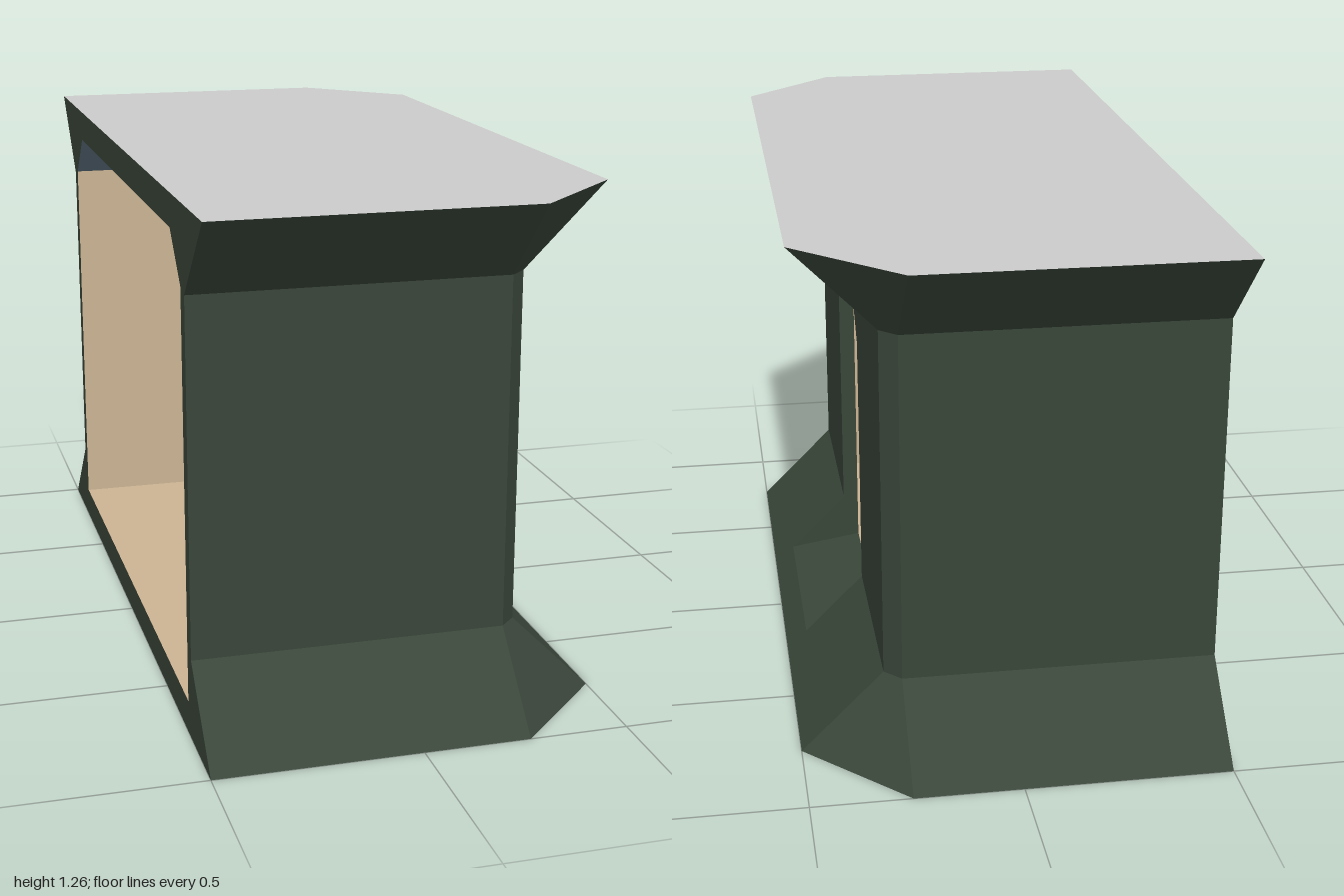
import * as THREE from 'three';

const material = (name, color) => {
  const m = new THREE.MeshStandardMaterial({ color });
  m.name = name;
  return m;
};

// Collects flat polygons; each is fanned from its first corner and turned to face `out`
function makePart(group, name, mat, build) {
  const pos = [];
  const a = new THREE.Vector3(), b = new THREE.Vector3(), c = new THREE.Vector3();
  const face = (pts, out) => {
    const dir = new THREE.Vector3(...out);
    for (let i = 1; i < pts.length - 1; i++) {
      const tri = [pts[0], pts[i], pts[i + 1]];
      a.set(...tri[0]); b.set(...tri[1]); c.set(...tri[2]);
      const n = b.clone().sub(a).cross(c.clone().sub(a));
      if (n.length() < 1e-7) continue;
      if (n.dot(dir) < 0) tri.reverse();
      pos.push(...tri.flat());
    }
  };
  const flip = ([x, y, z]) => [x, y, -z];
  const both = (pts, out) => { face(pts, out); face(pts.map(flip), flip(out)); };
  // strip spanning from an edge at +z to its mirror at -z
  const span = (p, q, out) => face([p, q, flip(q), flip(p)], out);
  build({ face, both, span });
  const geo = new THREE.BufferGeometry();
  geo.setAttribute('position', new THREE.Float32BufferAttribute(pos, 3));
  geo.computeVertexNormals();
  const mesh = new THREE.Mesh(geo, mat);
  mesh.name = name;
  group.add(mesh);
}

export function createModel() {
  const group = new THREE.Group();
  group.name = 'gatehouse';
  const green = material('dark green', 0x3a463a);
  const tan = material('tan', 0xccb493);
  const grey = material('light grey', 0xcccccc);
  const blue = material('slate blue', 0x647686);

  const H = 1.26, BACK = -0.5;
  const DZ = 0.255, DY = 0.85, TZ = 0.18, TY = 0.925;   // doorway half width, shoulder and top
  const IX = 0.26, IZ = 0.76, FLOOR = 0.08;             // room limits
  const SPRING = 1.07, CEIL = 1.18, COVE = 0.11;        // ceiling cove

  // half outline of the footprint, flared outwards by d
  const ring = (y, d) => [[BACK, y, 0.8 + d], [0.26, y, 0.8 + d], [0.3 + d, y, 0.76]];

  // flared bands: ends and cut corners, with the plain front of the cornice
  const band = (lo, hi) => ({ both, span }) => {
    both([lo[0], lo[1], hi[1], hi[0]], [0, 0, 1]);
    both([lo[1], lo[2], hi[2], hi[1]], [1, 0, 1]);
  };
  const r0 = ring(0, 0.2), r1 = ring(0.2, 0), r2 = ring(1.06, 0), r3 = ring(H, 0.2);

  // wall panel at a given x, cut around the doorway
  const doorPanel = ({ both, span }, x, bottom, top, out) => {
    both([[x, top, 0.76], [x, bottom, 0.76], [x, bottom, DZ], [x, DY, DZ], [x, TY, TZ], [x, top, TZ]], out);
    span([x, TY, TZ], [x, top, TZ], out);
  };

  makePart(group, 'skirt', green, (k) => {
    band(r0, r1)(k);
    k.both([r0[2], r1[2], [0.3, 0.2, DZ], [0.5, 0, DZ]], [1, 1, 0]);
    k.span([0.45, 0.05, DZ], [0.5, 0, DZ], [1, 1, 0]);
  });

  makePart(group, 'outerWall', green, (k) => {
    band(r1, r2)(k);
    doorPanel(k, 0.3, 0.2, 1.06, [1, 0, 0]);
  });

  makePart(group, 'cornice', green, (k) => {
    band(r2, r3)(k);
    k.span(r2[2], r3[2], [1, -1, 0]);
  });

  // door jambs, lintel and sloping sill
  makePart(group, 'doorway', green, ({ both, span }) => {
    both([[0.3, 0.2, DZ], [0.3, DY, DZ], [IX, DY, DZ], [IX, FLOOR, DZ], [0.45, 0.05, DZ]], [0, 0, -1]);
    both([[0.3, DY, DZ], [0.3, TY, TZ], [IX, TY, TZ], [IX, DY, DZ]], [0, -1, -1]);
    span([0.3, TY, TZ], [IX, TY, TZ], [0, -1, 0]);
    span([IX, FLOOR, DZ], [0.45, 0.05, DZ], [0, 1, 0]);
  });

  // cut face around the open back
  makePart(group, 'backRim', green, ({ both }) => {
    const outer = [[0, 0], [1, 0], [0.8, 0.2], [0.8, 1.06], [1, H], [0, H]];
    const inner = [[0, FLOOR], [IZ, FLOOR], [IZ, FLOOR], [IZ, SPRING], [IZ - COVE, CEIL], [0, CEIL]];
    const at = ([z, y]) => [BACK, y, z];
    for (let i = 0; i < 5; i++) {
      both([outer[i], outer[i + 1], inner[i + 1], inner[i]].map(at), [-1, 0, 0]);
    }
  });

  // top and underside slabs
  const slab = (r) => [...r, ...[...r].reverse().map(([x, y, z]) => [x, y, -z])];
  makePart(group, 'roof', grey, ({ face }) => face(slab(r3), [0, 1, 0]));
  makePart(group, 'underside', grey, ({ face }) => face(slab(r0), [0, -1, 0]));

  // room inside
  makePart(group, 'floor', tan, ({ span }) => span([BACK, FLOOR, IZ], [IX, FLOOR, IZ], [0, 1, 0]));
  makePart(group, 'innerWalls', tan, (k) => {
    k.both([[BACK, FLOOR, IZ], [IX, FLOOR, IZ], [IX, SPRING, IZ], [BACK, SPRING, IZ]], [0, 0, -1]);
    doorPanel(k, IX, FLOOR, SPRING, [-1, 0, 0]);
  });
  makePart(group, 'ceiling', tan, ({ span }) =>
    span([BACK, CEIL, IZ - COVE], [IX - COVE, CEIL, IZ - COVE], [0, -1, 0]));
  makePart(group, 'ceilingCove', blue, ({ both, span }) => {
    const low = [IX, SPRING, IZ], high = [IX - COVE, CEIL, IZ - COVE];
    both([[BACK, SPRING, IZ], low, high, [BACK, CEIL, IZ - COVE]], [0, -1, -1]);
    span(low, high, [-1, -1, 0]);
  });

  return group;
}
